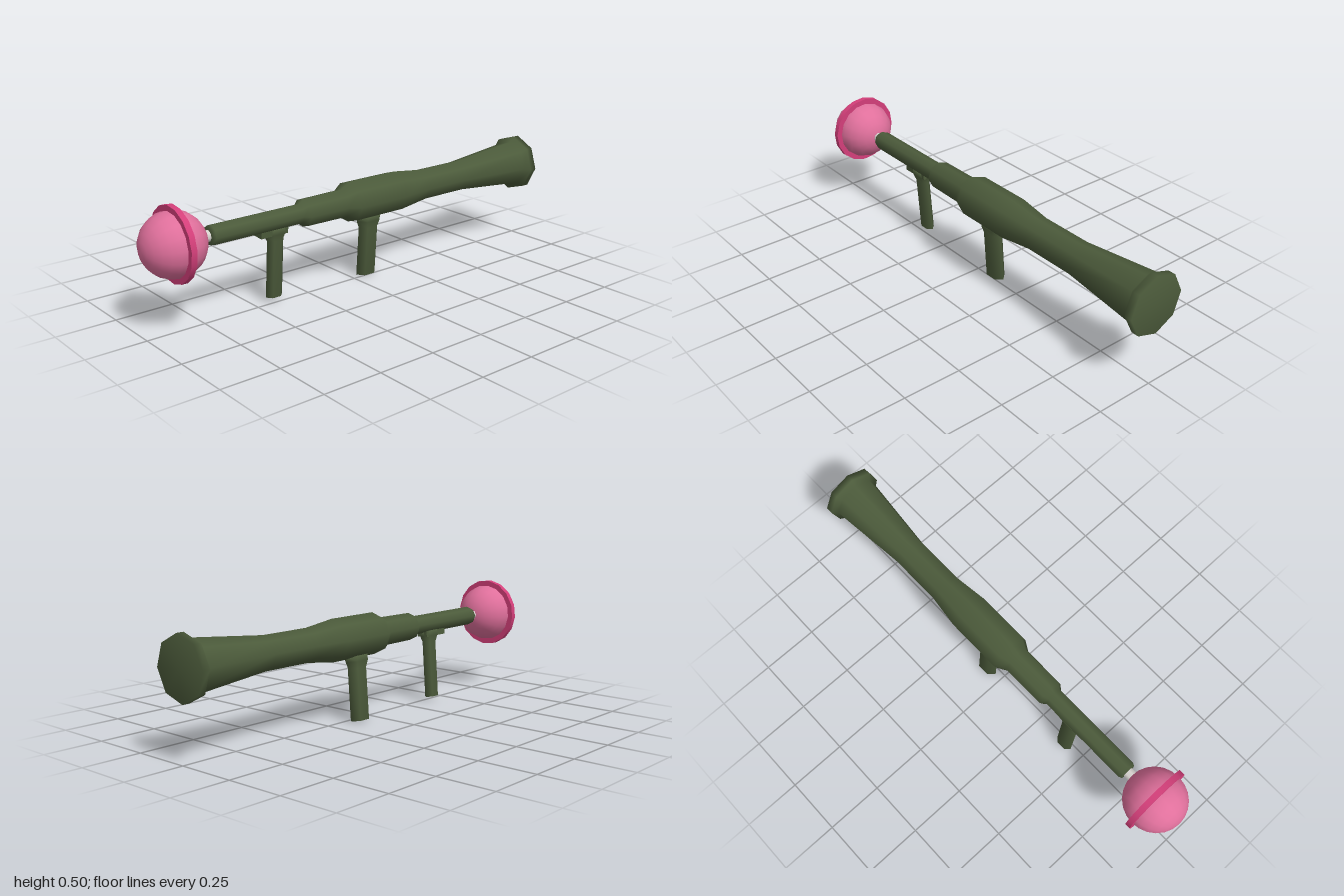
import * as THREE from 'three';

const material = (name, color) => {
  const m = new THREE.MeshStandardMaterial({ color });
  m.name = name;
  return m;
};

export function createModel() {
  const olive = material('olive green', 0x4c5b3b);
  const pink = material('candy pink', 0xe0709c);
  const crimson = material('deep pink', 0xd43f7a);
  const white = material('stick white', 0xd8d4d0);

  const model = new THREE.Group();
  model.name = 'launcher';
  // Everything is rolled slightly around the barrel axis
  const body = new THREE.Group();
  body.name = 'rolledBody';
  body.position.y = 0.353;
  body.rotation.z = -0.075;
  model.add(body);

  const add = (name, geometry, mat) => {
    const mesh = new THREE.Mesh(geometry, mat);
    mesh.name = name;
    body.add(mesh);
    return mesh;
  };
  const lathe = (pairs, sides) =>
    new THREE.LatheGeometry(pairs.map(([r, y]) => new THREE.Vector2(r, y)), sides);

  // Barrel: stepped eight-sided tube, from the flared rear to the muzzle
  add('barrel', lathe([
    [0, -1], [0.128, -1], [0.128, -0.968], [0.105, -0.948],
    [0.07, -0.6], [0.07, -0.37], [0.089, -0.22], [0.089, 0.03],
    [0.062, 0.075], [0.06, 0.27], [0.042, 0.292], [0.042, 0.705],
    [0.036, 0.717], [0, 0.717],
  ], 8).rotateX(Math.PI / 2), olive);

  // Grips: tapered six-sided columns with a flared collar at the barrel
  const grip = (name, z, halfX, halfZ, bottom, collar, collarHalf) => {
    const g = lathe([
      [0, bottom], [halfZ, bottom], [halfZ, collar - 0.03],
      [collarHalf, collar], [collarHalf, collar + 0.025], [0, collar + 0.025],
    ], 6);
    g.scale(halfX / (halfZ * Math.sin(Math.PI / 3)), 1, 1);
    add(name, g, olive).position.z = z;
  };
  grip('rearGrip', -0.085, 0.028, 0.0525, -0.351, -0.1, 0.065);
  grip('frontGrip', 0.405, 0.021, 0.04, -0.333, -0.055, 0.055);

  // Mounting plate above the front grip
  add('gripPlate', new THREE.BoxGeometry(0.05, 0.03, 0.13), olive)
    .position.set(0, -0.043, 0.425);

  // Candy stick
  const stick = add('stick', new THREE.CylinderGeometry(0.024, 0.024, 0.1, 8).rotateX(Math.PI / 2), white);
  stick.position.z = 0.74;

  // Candy ball and the band around it
  const ball = add('candyBall', new THREE.SphereGeometry(0.131, 16, 12).rotateX(Math.PI / 2), pink);
  const band = add('candyBand', new THREE.CylinderGeometry(0.153, 0.153, 0.024, 16).rotateX(Math.PI / 2), crimson);
  ball.position.z = 0.869;
  band.position.z = 0.867;
  ball.rotation.z = band.rotation.z = 0.155;

  return model;
}
